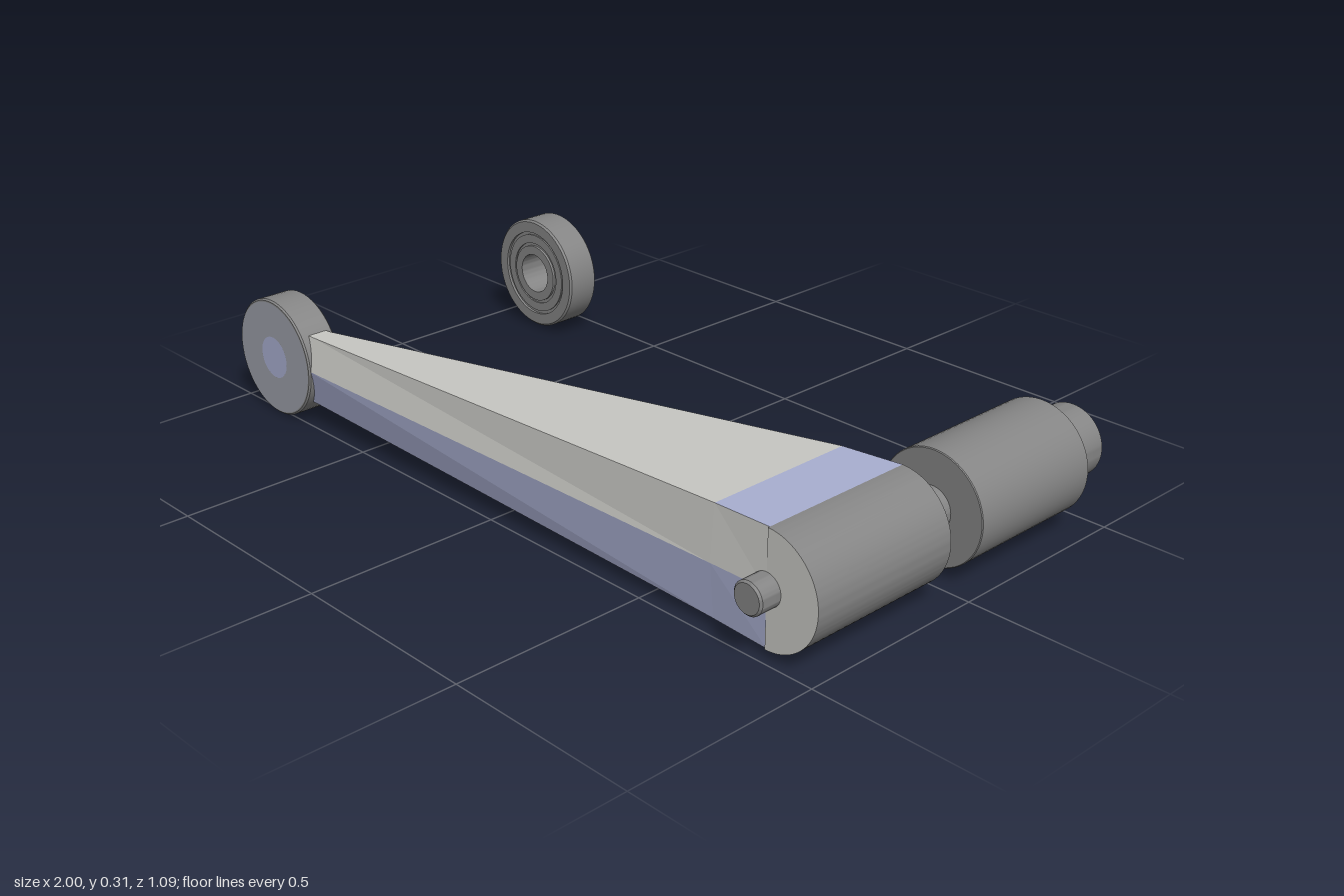
import * as THREE from 'three';
import { toCreasedNormals } from 'three/addons/utils/BufferGeometryUtils.js';

const mat = (name, color) => {
  const m = new THREE.MeshStandardMaterial({ color });
  m.name = name;
  return m;
};

export function createModel() {
  const steel = mat('steel grey', 0x858585);
  const pale = mat('pale grey', 0xc8c8c4);
  const blue = mat('pale blue', 0xaab0d2);
  const mottled = mat('bluish grey', 0x9c9fa8);
  const Y = 0.165, HUB_X = 0.855, BOSS_X = -0.845;
  const model = new THREE.Group();
  model.name = 'crankArm';

  const add = (name, geometry, material, x = 0, y = 0, z = 0) => {
    const mesh = new THREE.Mesh(geometry, material);
    mesh.name = name;
    mesh.position.set(x, y, z);
    model.add(mesh);
    return mesh;
  };

  // Solid or hollow turned part along z from [radius, z] points
  const turned = (name, points, material, x, y = Y) => {
    const g = new THREE.LatheGeometry(points.map(p => new THREE.Vector2(...p)), 56);
    g.rotateX(Math.PI / 2);
    // rotateX sends the lathe axis to +z
    return add(name, toCreasedNormals(g, 0.5), material, x, y);
  };
  const rod = (name, r, z0, z1, bevel = 0.004) => turned(name, [
    [0, z0], [r - bevel, z0], [r, z0 + bevel], [r, z1 - bevel], [r - bevel, z1], [0, z1],
  ], steel, HUB_X);

  // Tapered arm: six-sided cross-sections lofted along x
  const section = (x, top, bottom, backEdge, backMid, frontEdge, frontMid) => [
    [x, top, backEdge], [x, top, frontEdge], [x, Y, frontMid],
    [x, bottom, frontEdge], [x, bottom, backEdge], [x, Y, backMid],
  ];
  const sections = [
    section(-0.85, 0.248, 0.072, 0.462, 0.422, 0.495, 0.51),
    section(-0.7, 0.25, 0.068, 0.435, 0.375, 0.49, 0.511),
    section(0.7, 0.3, 0.03, 0.085, 0.07, 0.476, 0.487),
    section(HUB_X, 0.305, 0.025, 0.07, 0.068, 0.478, 0.485),
  ];
  const panels = { pale: [], blue: [] };
  for (let s = 0; s < 3; s++) {
    for (let i = 0; i < 6; i++) {
      const j = (i + 1) % 6;
      const [a, b, c, d] = [sections[s][i], sections[s][j], sections[s + 1][j], sections[s + 1][i]];
      const isBlue = i === 2 || (i === 0 && s === 2);
      panels[isBlue ? 'blue' : 'pale'].push(...a, ...b, ...c, ...a, ...c, ...d);
    }
  }
  for (const [key, material] of [['pale', pale], ['blue', blue]]) {
    const g = new THREE.BufferGeometry();
    g.setAttribute('position', new THREE.Float32BufferAttribute(panels[key], 3));
    g.computeVertexNormals();
    add(key === 'pale' ? 'armBody' : 'armBluePanels', g, material);
  }

  // Rounded hub end of the arm
  const half = new THREE.Shape();
  half.absarc(0, 0, 0.14, -Math.PI / 2, Math.PI / 2, false);
  half.closePath();
  const hub = new THREE.ExtrudeGeometry(half, { depth: 0.413, bevelEnabled: false, curveSegments: 32 });
  add('hubEnd', toCreasedNormals(hub, 0.5), [pale, steel], HUB_X, Y, 0.07);

  // Hub back face
  const disc = new THREE.CircleGeometry(0.138, 48);
  disc.rotateY(Math.PI);
  add('hubBackFace', disc, mottled, HUB_X, Y, 0.066);

  // Boss at the narrow end with its face plates
  turned('boss', [[0, 0.42], [0.151, 0.42], [0.155, 0.424], [0.155, 0.511], [0.151, 0.515], [0, 0.515]],
    steel, BOSS_X, 0.16);
  for (const side of [1, -1]) {
    const z = side > 0 ? 0.516 : 0.419;
    const ring = new THREE.RingGeometry(0.055, 0.148, 48);
    const core = new THREE.CircleGeometry(0.055, 32);
    if (side < 0) [ring, core].forEach(g => g.rotateY(Math.PI));
    add(side > 0 ? 'bossFrontFace' : 'bossBackFace', ring, mottled, BOSS_X, 0.16, z);
    add(side > 0 ? 'bossFrontCentre' : 'bossBackCentre', core, blue, BOSS_X, 0.16, z);
  }

  // Separate bearing with a groove on each side
  const faceProfile = [[0.055, 0.047], [0.08, 0.047], [0.08, 0.04], [0.088, 0.04], [0.088, 0.044],
    [0.112, 0.044], [0.112, 0.04], [0.12, 0.04], [0.12, 0.047], [0.15, 0.047], [0.155, 0.042]];
  const zc = -0.408;
  turned('bearing', [
    ...faceProfile.map(([r, h]) => [r, zc - h]),
    ...faceProfile.slice().reverse().map(([r, h]) => [r, zc + h]),
    [0.055, zc - 0.047],
  ], steel, BOSS_X);

  // Handle grip, axle and axle tip
  rod('grip', 0.14, -0.42, -0.037, 0.002);
  rod('axle', 0.054, -0.467, 0.1, 0.002);
  rod('axleTip', 0.04, 0.46, 0.54, 0.005);

  // Bolt head with a hexagonal socket
  const head = new THREE.Shape().absarc(0, 0, 0.09, 0, Math.PI * 2, false);
  const socket = new THREE.Path();
  for (let i = 0; i <= 6; i++) {
    const a = -i * Math.PI / 3;
    socket[i ? 'lineTo' : 'moveTo'](0.042 * Math.cos(a), 0.042 * Math.sin(a));
  }
  head.holes.push(socket);
  const headGeo = new THREE.ExtrudeGeometry(head, { depth: 0.08, bevelEnabled: false, curveSegments: 32 });
  add('boltHead', toCreasedNormals(headGeo, 0.5), steel, HUB_X, Y, -0.545);
  const floor = new THREE.CircleGeometry(0.05, 24);
  floor.rotateY(Math.PI);
  add('socketFloor', floor, steel, HUB_X, Y, -0.5);

  return model;
}
